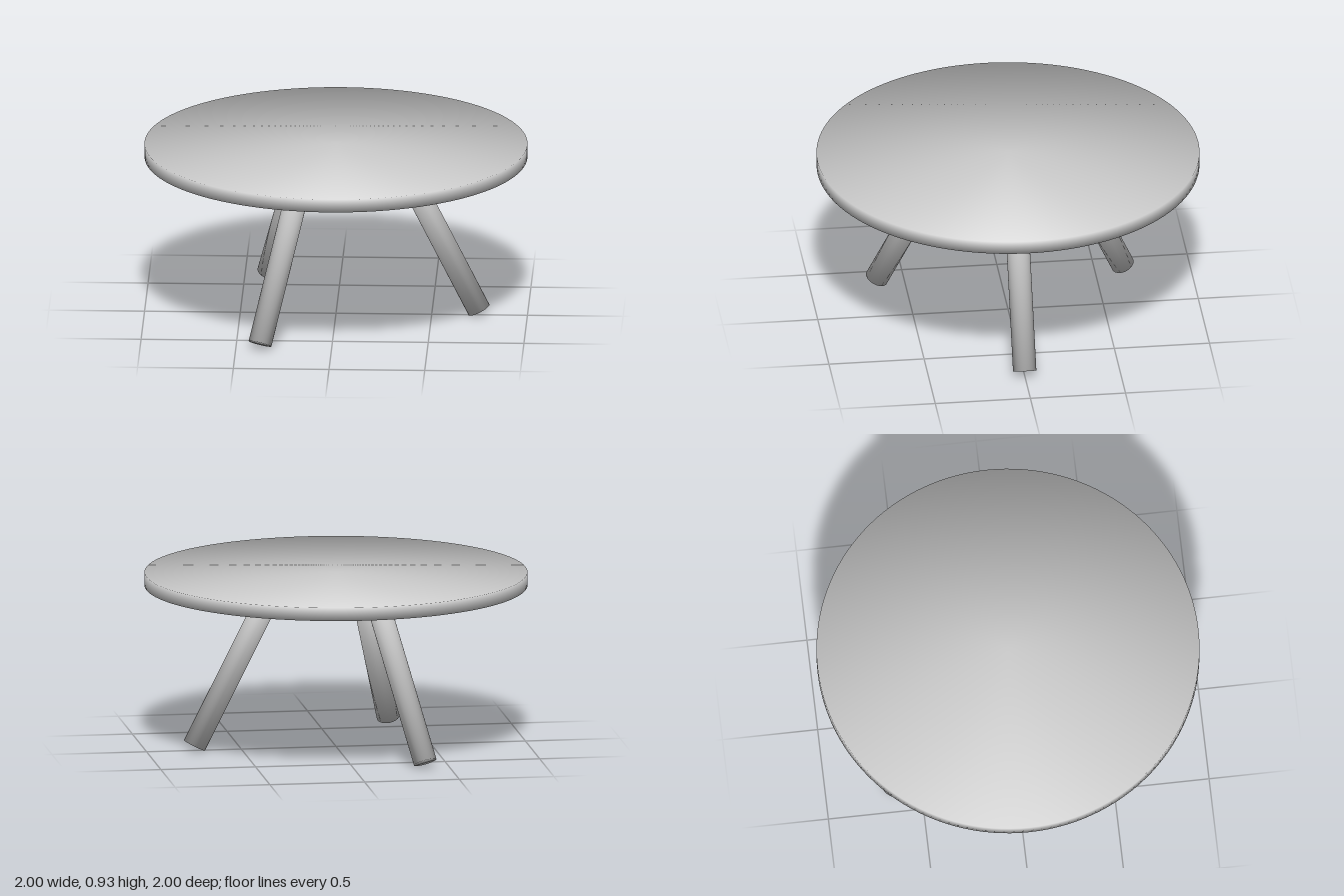
import * as THREE from 'three';

const LEG_RADIUS = 0.061;

// Closed cylinder whose normals blend softly over the rims between caps and wall
function softCylinder(radius, height, sides) {
  const geometry = new THREE.CylinderGeometry(radius, radius, height, sides);
  const { position, normal } = geometry.attributes;
  for (let i = 0; i < position.count; i++) {
    normal.setXYZ(
      i,
      (position.getX(i) / radius) * Math.SQRT1_2,
      Math.sign(position.getY(i)) * Math.SQRT1_2,
      (position.getZ(i) / radius) * Math.SQRT1_2
    );
  }
  return geometry;
}

export function createModel() {
  const table = new THREE.Group();
  table.name = 'roundTable';
  const paint = new THREE.MeshStandardMaterial({ color: 0xcccccc });
  paint.name = 'light grey';

  // Round top
  const top = new THREE.Mesh(softCylinder(1, 0.07, 128), paint);
  top.name = 'tableTop';
  top.position.y = 0.893;
  table.add(top);

  // Three splayed legs, evenly spaced around the centre
  const foot = new THREE.Vector3(0.747, 0.028, 0);
  const head = new THREE.Vector3(0.326, 0.862, 0);
  const along = head.clone().sub(foot);
  const legGeometry = softCylinder(LEG_RADIUS, along.length(), 48);
  ['leftLeg', 'backRightLeg', 'frontRightLeg'].forEach((name, i) => {
    const pivot = new THREE.Group();
    pivot.name = name;
    pivot.rotation.y = (i * Math.PI * 2) / 3;
    const leg = new THREE.Mesh(legGeometry, paint);
    leg.name = name + 'Post';
    leg.position.addVectors(foot, head).multiplyScalar(0.5);
    leg.quaternion.setFromUnitVectors(new THREE.Vector3(0, 1, 0), along.clone().normalize());
    pivot.add(leg);
    table.add(pivot);
  });

  return table;
}
